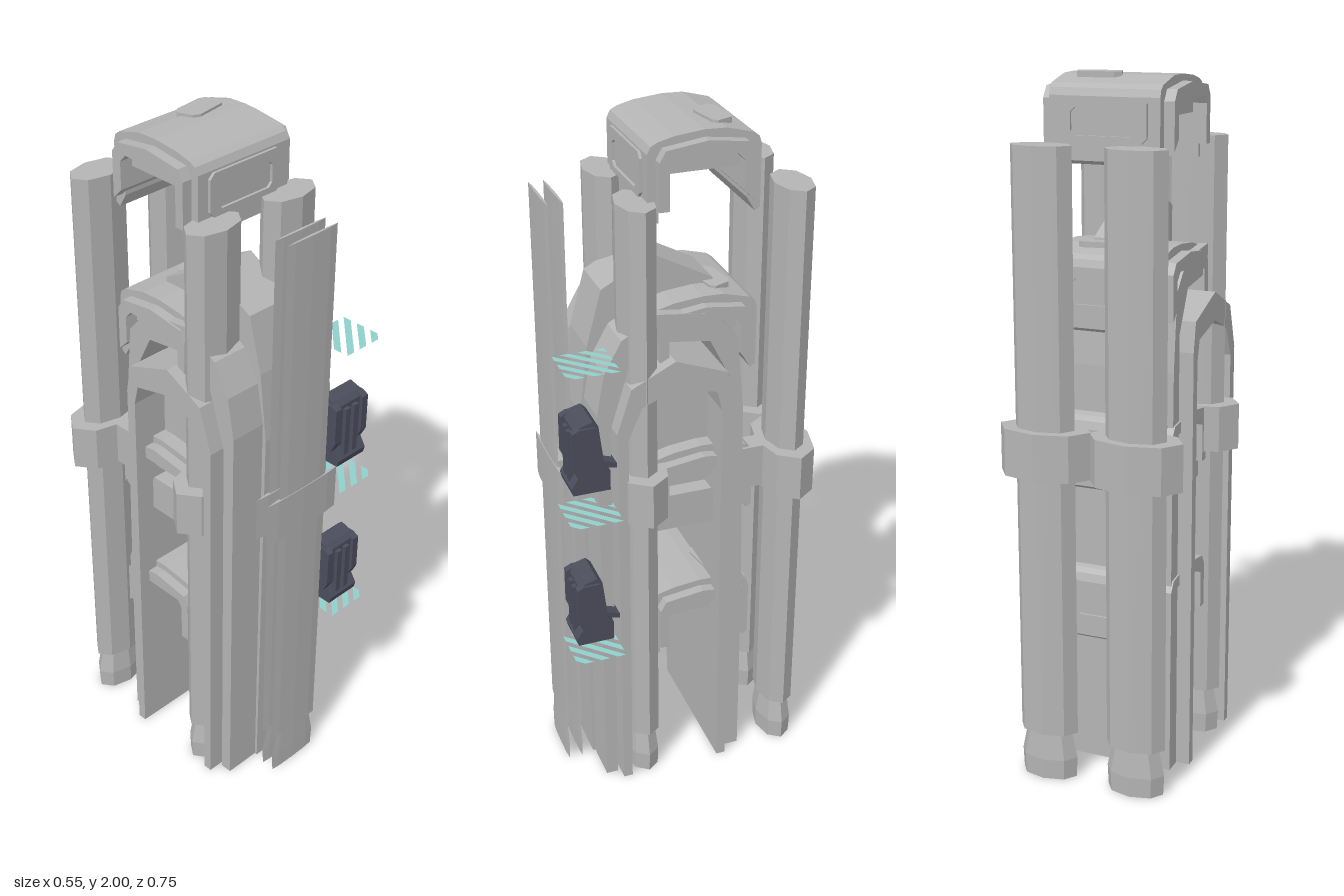
import * as THREE from 'three';

const grey = new THREE.MeshStandardMaterial({ color: 0xb4b4b4 });
grey.name = 'plain grey';
const dark = new THREE.MeshStandardMaterial({ color: 0x4b4d5c });
dark.name = 'dark slate';
const teal = new THREE.MeshStandardMaterial({ color: 0x8fd0cb, side: THREE.DoubleSide });
teal.name = 'teal';

const CX = -0.005; // middle of the body

function add(parent, name, geometry, material = grey) {
  const mesh = new THREE.Mesh(geometry, material);
  mesh.name = name;
  parent.add(mesh);
  return mesh;
}

// Box given by its limits
function box(x0, x1, y0, y1, z0, z1) {
  return new THREE.BoxGeometry(x1 - x0, y1 - y0, z1 - z0)
    .translate((x0 + x1) / 2, (y0 + y1) / 2, (z0 + z1) / 2);
}

// Profile of [z, y] points carried along x
function extrudeX(points, x0, x1) {
  const shape = new THREE.Shape(points.map(([z, y]) => new THREE.Vector2(-z, y)));
  return new THREE.ExtrudeGeometry(shape, { depth: x1 - x0, bevelEnabled: false })
    .rotateY(Math.PI / 2).translate(x0, 0, 0);
}

// Stretched octagonal column with flat faces
function octagon(rTop, rBottom, y0, y1, depth, open = false) {
  const g = new THREE.CylinderGeometry(rTop, rBottom, y1 - y0, 8, 1, open)
    .translate(0, (y0 + y1) / 2, 0).scale(1, 1, depth).toNonIndexed();
  g.computeVertexNormals();
  return g;
}

// Post with a collar and a flared foot
function post(name, x, z, depth) {
  const g = new THREE.Group();
  g.name = name;
  add(g, 'shaft', octagon(0.09, 0.09, 0.14, 1.82, depth));
  add(g, 'collar', octagon(0.137, 0.137, 0.915, 1.05, depth));
  add(g, 'footNeck', octagon(0.07, 0.088, 0.06, 0.145, depth));
  add(g, 'foot', octagon(0.088, 0.085, 0, 0.06, depth));
  g.position.set(x, 0, z);
  return g;
}

function roundedRect(path, x0, x1, y0, y1, c) {
  path.moveTo(x0 + c, y0);
  path.lineTo(x1 - c, y0);
  path.lineTo(x1, y0 + c);
  path.lineTo(x1, y1 - c);
  path.lineTo(x1 - c, y1);
  path.lineTo(x0 + c, y1);
  path.lineTo(x0, y1 - c);
  path.lineTo(x0, y0 + c);
  path.closePath();
  return path;
}

// Arched cap, with its top near y = 0
function cap(name, top) {
  const g = new THREE.Group();
  g.name = name;
  add(g, 'capShell', extrudeX([
    [0.115, -0.23], [0.115, -0.055], [0.105, -0.035], [0.085, -0.025], [0.04, -0.014], [-0.04, -0.006],
    [-0.1, -0.008], [-0.175, -0.028], [-0.19, -0.04], [-0.196, -0.06], [-0.196, -0.23], [-0.182, -0.24],
    [-0.158, -0.2], [-0.158, -0.07], [-0.1, -0.05], [0.06, -0.055], [0.085, -0.08], [0.085, -0.24],
  ], -0.165, 0.155));
  add(g, 'capLining', extrudeX([
    [0.092, -0.2], [0.092, -0.07], [0.075, -0.04], [-0.04, -0.025], [-0.15, -0.04], [-0.17, -0.07],
    [-0.17, -0.2], [-0.14, -0.17], [-0.14, -0.09], [-0.12, -0.068], [0.05, -0.068], [0.065, -0.09], [0.065, -0.2],
  ], -0.195, 0.185));
  add(g, 'capFloor', box(-0.155, 0.145, -0.115, -0.05, -0.16, 0.09));
  // Raised window frames on the front and the back
  const frame = roundedRect(new THREE.Shape(), -0.13, 0.12, -0.18, -0.06, 0.015);
  frame.holes.push(roundedRect(new THREE.Path(), -0.1, 0.09, -0.163, -0.09, 0.012));
  for (const z of [0.114, -0.204]) {
    add(g, 'windowFrame', new THREE.ExtrudeGeometry(frame, { depth: 0.009, bevelEnabled: false }).translate(0, 0, z));
  }
  // Six-sided hatch on the roof
  const hatch = new THREE.Shape([
    [-0.022, 0.115], [-0.005, 0.13], [0.08, 0.142], [0.1, 0.135], [0.117, 0.092], [0.105, 0.078], [0.015, 0.062], [-0.005, 0.07],
  ].map(([x, y]) => new THREE.Vector2(x, y)));
  add(g, 'roofHatch', new THREE.ExtrudeGeometry(hatch, { depth: 0.016, bevelEnabled: false })
    .rotateX(-Math.PI / 2).translate(0, -0.016, 0));
  g.position.y = top;
  return g;
}

// Clip with two ribs and a catch behind
function clip(y) {
  const g = new THREE.Group();
  g.name = 'clip';
  add(g, 'clipBase', extrudeX([
    [0.36, 0], [0.365, 0.02], [0.34, 0.06], [0.34, 0.1], [0.29, 0.1], [0.255, 0.06], [0.255, 0],
  ], 0.13, 0.24), dark);
  add(g, 'clipBody', extrudeX([
    [0.35, 0.06], [0.35, 0.19], [0.335, 0.205], [0.3, 0.215], [0.285, 0.2], [0.268, 0.06],
  ], 0.125, 0.238), dark);
  for (const x of [0.116, 0.223]) {
    add(g, 'clipCheek', extrudeX([
      [0.345, 0.05], [0.36, 0.08], [0.36, 0.19], [0.34, 0.2], [0.295, 0.2], [0.27, 0.07],
    ], x, x + 0.022), dark);
  }
  for (const x of [0.155, 0.188]) add(g, 'clipRib', box(x, x + 0.018, 0.03, 0.18, 0.34, 0.362), dark);
  add(g, 'clipCatch', extrudeX([[0.28, 0.085], [0.28, 0.065], [0.23, 0.052], [0.23, 0.068]], 0.15, 0.22), dark);
  g.position.y = y;
  return g;
}

// Square of diagonal stripes lying flat
function stripedPlate(y) {
  const x0 = 0.13, z0 = 0.23, s = 0.145, period = 0.0484, points = [];
  // Where the line x + z = d crosses the square, upper and lower end
  const hi = (d) => (d <= s ? [d, 0] : [s, d - s]);
  const lo = (d) => (d <= s ? [0, d] : [d - s, s]);
  for (let i = 0; i < 6; i++) {
    const a = i * period, b = a + period * 0.54;
    const poly = [hi(a)];
    if (a < s && b > s) poly.push([s, 0]);
    poly.push(hi(b), lo(b));
    if (a < s && b > s) poly.push([0, s]);
    poly.push(lo(a));
    for (let k = 1; k < poly.length - 1; k++) {
      for (const [x, z] of [poly[0], poly[k + 1], poly[k]]) points.push(x0 + x, y, z0 + z);
    }
  }
  const g = new THREE.BufferGeometry();
  g.setAttribute('position', new THREE.Float32BufferAttribute(points, 3));
  g.computeVertexNormals();
  return g;
}

export function createModel() {
  const model = new THREE.Group();
  model.name = 'foldedFrame';

  // Four posts, with brackets behind
  for (const side of [-1, 1]) {
    const x = CX + side * 0.136;
    model.add(post('backPost', x, -0.298, 0.585), post('frontPost', x, 0.142, 0.585));
    add(model, 'bracket', box(x - 0.032, x + 0.032, 0.92, 1.05, -0.23, -0.13));
  }

  // Flat front rails joined by a web
  for (const z of [0.315, 0.356]) model.add(post('frontRail', CX, z, 0.045));
  add(model, 'railWeb', box(-0.04, 0.03, 0.92, 1.04, 0.315, 0.356));

  // Nested arches, from the widest to the narrowest
  add(model, 'outerArch', extrudeX([
    [0.225, 0], [0.227, 1.2], [0.185, 1.33], [0.06, 1.392], [-0.09, 1.335], [-0.105, 1.25], [-0.105, 0],
    [-0.078, 0], [-0.075, 1.22], [-0.06, 1.28], [0.06, 1.31], [0.155, 1.27], [0.195, 1.18], [0.198, 0],
  ], -0.23, 0.219));
  add(model, 'middleArch', extrudeX([
    [0.27, 0], [0.272, 1.25], [0.25, 1.37], [0.2, 1.46], [0.1, 1.52], [-0.06, 1.5], [-0.13, 1.42], [-0.15, 1.2], [-0.16, 0.5], [-0.16, 0],
    [-0.11, 0], [-0.11, 1.3], [-0.05, 1.42], [0.1, 1.44], [0.18, 1.38], [0.235, 1.2], [0.235, 0],
  ], -0.19, 0.186));
  add(model, 'innerArch', extrudeX([
    [0.278, 0], [0.284, 1.2], [0.26, 1.4], [0.217, 1.56], [0.07, 1.64], [-0.1, 1.55], [-0.11, 1.42],
    [0.08, 1.46], [0.18, 1.42], [0.235, 1.25], [0.25, 0],
  ], -0.08, 0.07));

  // Filled panel and crossbar inside the arches
  add(model, 'innerPanel', extrudeX([
    [0.2, 0.93], [0.2, 1.18], [0.155, 1.28], [0.06, 1.32], [-0.06, 1.29], [-0.1, 1.2], [-0.1, 0.93],
  ], -0.12, 0.11));
  add(model, 'crossbar', extrudeX([
    [0.2, 0.83], [0.2, 0.94], [-0.07, 0.94], [-0.09, 0.9], [-0.08, 0.83],
  ], -0.17, 0.16));

  // Stack of equal caps
  for (let i = 0; i < 4; i++) model.add(cap('cap', 2 - i * 0.456));

  // Clips and striped plates on the left of the front
  for (const y of [0.55, 1.05]) model.add(clip(y));
  for (const y of [0.51, 0.965, 1.42]) add(model, 'stripedPlate', stripedPlate(y), teal);

  return model;
}
